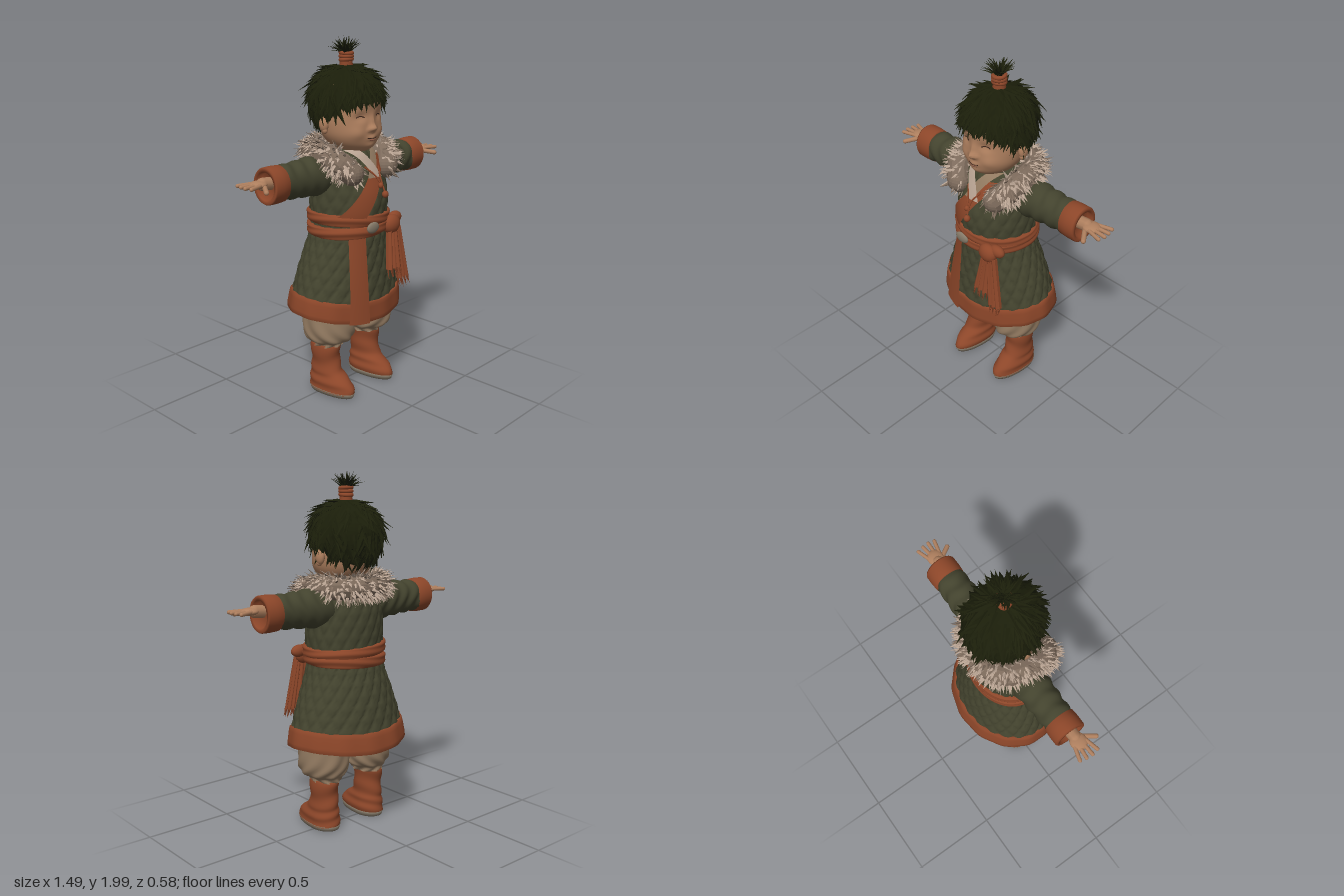
import * as THREE from 'three';
import { mergeGeometries } from 'three/addons/utils/BufferGeometryUtils.js';

const V = (x, y, z) => new THREE.Vector3(x, y, z);
const { sin, cos, PI, abs, min, max, sqrt, exp } = Math;
let seed = 7;
const rnd = (a = 0, b = 1) => {
  seed = (seed * 16807) % 2147483647;
  return a + (b - a) * (seed / 2147483647);
};

// Grid surface from a rule fn(u, v); closed wraps around u
function surface(fn, rows, cols, closed = true) {
  const pos = [], idx = [], n = closed ? cols : cols + 1;
  for (let j = 0; j <= rows; j++)
    for (let i = 0; i < n; i++) pos.push(...fn(i / cols, j / rows).toArray());
  for (let j = 0; j < rows; j++)
    for (let i = 0; i < cols; i++) {
      const a = j * n + i, b = j * n + ((i + 1) % n), c = a + n, d = b + n;
      idx.push(a, b, d, a, d, c);
    }
  const g = new THREE.BufferGeometry();
  g.setAttribute('position', new THREE.Float32BufferAttribute(pos, 3));
  g.setIndex(idx);
  g.computeVertexNormals();
  return g;
}

// Cross-section keys are [y, centreX, centreZ, radiusX, radiusFront, radiusBack]
function section(keys, t) {
  const f = t * (keys.length - 1), i = min(Math.floor(f), keys.length - 2), s = f - i;
  const k = (n) => keys[max(0, min(keys.length - 1, n))];
  const [a, b, c, d] = [k(i - 1), k(i), k(i + 1), k(i + 2)];
  return b.map((q, n) => q + 0.5 * s * (c[n] - a[n] + s * (2 * a[n] - 5 * q + 4 * c[n] - d[n] + s * (3 * (q - c[n]) + d[n] - a[n]))));
}
function ringPoint(keys, a, t, disp, off = 0) {
  const [y, cx, cz, rx, rf, rb] = section(keys, t);
  const p = V(cx + (rx + off) * sin(a), y, cz + ((cos(a) > 0 ? rf : rb) + off) * cos(a));
  if (disp) disp(p, a, t);
  return p;
}
const loft = (keys, sub, cols, disp) =>
  surface((u, v) => ringPoint(keys, u * 2 * PI, v, disp), sub * (keys.length - 1), cols);
// Strip lying on the front of a lofted form; span(v) gives its left and right x
const strip = (keys, t0, t1, span, off, disp) => surface((u, v) => {
  const t = t0 + (t1 - t0) * v, [l, r] = span(v);
  const q = (l + (r - l) * u) / section(keys, t)[3];
  return ringPoint(keys, Math.asin(max(-1, min(1, q))), t, disp, off);
}, 20, 8, false);
const push = (p, a, d) => { p.x += d * sin(a); p.z += d * cos(a); };

function mirror(g) {
  const m = g.clone().scale(-1, 1, 1), ix = m.index.array;
  for (let i = 0; i < ix.length; i += 3) [ix[i], ix[i + 1]] = [ix[i + 1], ix[i]];
  return m;
}
// Tapered lock of hair or fur, bent along the out direction
function lock(base, dir, out, len, w, bend, segs = 3) {
  const g = new THREE.ConeGeometry(w, len, 4, segs, true).translate(0, len / 2, 0), p = g.attributes.position;
  for (let i = 0; i < p.count; i++) p.setZ(i, p.getZ(i) * 0.5 + bend * (p.getY(i) / len) ** 2);
  const y = dir.clone().normalize(), z = out.clone().addScaledVector(y, -out.dot(y)).normalize();
  return g.applyMatrix4(new THREE.Matrix4().makeBasis(y.clone().cross(z), y, z).setPosition(base));
}
function limb(a, b, r) {
  const d = b.clone().sub(a), g = new THREE.CapsuleGeometry(r, d.length(), 4, 10);
  g.applyQuaternion(new THREE.Quaternion().setFromUnitVectors(V(0, 1, 0), d.normalize()));
  return g.translate(...a.clone().add(b).multiplyScalar(0.5).toArray());
}
const ball = (x, y, z, a, b, c) => new THREE.SphereGeometry(1, 18, 12).scale(a, b, c).translate(x, y, z);
const tube = (pts, r) => new THREE.TubeGeometry(new THREE.CatmullRomCurve3(pts), 12, r, 6);

export function createModel() {
  const root = new THREE.Group();
  root.name = 'childInQuiltedCoat';
  const mat = (name, color, opt = {}) => Object.assign(new THREE.MeshStandardMaterial({ color, side: THREE.DoubleSide, ...opt }), { name });
  const skin = mat('skin', 0xae7f5e), green = mat('greenQuilt', 0x43432e), rust = mat('rustCloth', 0x8c4629);
  const hair = mat('darkHair', 0x1b1e0a, { flatShading: true }), furLight = mat('lightFur', 0xb7a291, { flatShading: true });
  const furDark = mat('shadedFur', 0x7c6a5b, { flatShading: true }), linen = mat('linen', 0x917960);
  const grey = mat('greyLeather', 0x857a69), dark = mat('darkLine', 0x3a241a), lip = mat('lips', 0x94604a);
  const add = (name, g, m) => {
    const mesh = new THREE.Mesh(g, m);
    mesh.name = name;
    root.add(mesh);
    return mesh;
  };
  const pair = (name, g, m) => { add(name + 'Left', g, m); add(name + 'Right', mirror(g), m); };

  // Boots and baggy trousers
  const c = 0.165;
  pair('boot', loft([[0.02, c, 0, 0.078, 0.205, 0.105], [0.06, c, 0, 0.08, 0.2, 0.105], [0.1, c, 0, 0.075, 0.15, 0.1],
    [0.14, c, 0, 0.07, 0.1, 0.097], [0.21, c, 0, 0.071, 0.084, 0.092], [0.285, c, 0, 0.076, 0.085, 0.097], [0.287, c, 0, 0.05, 0.06, 0.06]],
  5, 32, (p, a, t) => push(p, a, 0.003 * sin(t * 26 + 2 * sin(a)))), rust);
  pair('sole', loft([[0, c, 0, 0.001, 0.001, 0.001], [0, c, 0, 0.075, 0.2, 0.1], [0.026, c, 0, 0.081, 0.21, 0.11], [0.027, c, 0, 0.07, 0.19, 0.09]], 1, 32), grey);
  const lc = 0.156;
  pair('trouserLeg', loft([[0.28, lc, 0, 0.078, 0.09, 0.1], [0.305, lc, 0, 0.088, 0.1, 0.105], [0.33, lc, 0.01, 0.125, 0.14, 0.13],
    [0.39, lc, 0.01, 0.14, 0.155, 0.148], [0.5, lc, 0.01, 0.135, 0.145, 0.145], [0.66, lc, 0.01, 0.13, 0.14, 0.14]],
  5, 48, (p, a, t) => push(p, a, 0.006 * sin(a * 8 + 4 * sin(t * 6)) * (1 - t * 0.5))), linen);
  add('trouserSeat', ball(0, 0.58, 0, 0.24, 0.13, 0.15), linen);

  // Quilted coat skirt with hem border and front band
  const quilt = (p, a, n, h, d) => {
    const q = PI * p.y / h;
    push(p, a, d * (sqrt(min(abs(sin(n * a + q)), abs(sin(n * a - q)))) - 0.7));
  };
  const hem = (p, w = 1) => { p.y += w * (0.3 * p.x * p.x - 0.05 * p.z); };
  const skirt = [[0.475, 0, 0, 0.36, 0.25, 0.285], [0.57, 0, 0, 0.342, 0.242, 0.262], [0.69, 0, 0, 0.308, 0.232, 0.238],
    [0.81, 0, 0, 0.265, 0.222, 0.212], [0.92, 0, 0, 0.227, 0.215, 0.182], [1, 0, 0, 0.215, 0.21, 0.17]];
  add('coatSkirt', loft(skirt, 10, 150, (p, a, t) => { quilt(p, a, 11, 0.13, 0.015); hem(p, 1 - t); }), green);
  add('hemBorder', loft([[0.47, 0, 0, 0.345, 0.24, 0.275], [0.462, 0, 0, 0.366, 0.256, 0.296], [0.52, 0, 0, 0.36, 0.254, 0.285],
    [0.57, 0, 0, 0.35, 0.252, 0.272], [0.575, 0, 0, 0.335, 0.24, 0.255]], 2, 72,
  (p, a) => { push(p, a, 0.003 * sin(a * 13)); hem(p); }), rust);
  add('frontBand', strip(skirt, 0, 1, (v) => [-0.2 + 0.06 * v, -0.08 + 0.01 * v], 0.016, (p, a, t) => { hem(p, 1 - t); p.y -= 0.015 * (1 - t); }), rust);

  // Coat body, crossed lapel and inner shirt collar
  const torso = [[0.96, 0, 0, 0.215, 0.21, 0.17], [1.06, 0, 0, 0.225, 0.232, 0.178], [1.16, 0, 0, 0.222, 0.228, 0.18],
    [1.25, 0, 0, 0.215, 0.2, 0.175], [1.33, 0, 0, 0.19, 0.165, 0.155], [1.39, 0, 0, 0.12, 0.125, 0.12], [1.41, 0, 0, 0.06, 0.06, 0.06]];
  add('coatBody', loft(torso, 7, 120, (p, a) => quilt(p, a, 9, 0.13, 0.012)), green);
  add('lapel', strip(torso, 0.13, 0.74, (v) => [-0.2 + 0.25 * v, -0.08 + 0.21 * v], 0.012), rust);
  for (const s of [-1, 1])
    add('shirtCollar', strip(torso, 0.5, 0.86, (v) => [s * (0.09 * v - 0.02) - 0.028, s * (0.09 * v - 0.02) + 0.028], 0.016 - 0.002 * s), s > 0 ? linen : furLight);

  // Sleeves, cuffs and hands
  const arm = (r) => r.map(([x, q]) => [x, 0, 0, q, q * 0.92, q * 0.92]);
  const place = (g) => g.rotateZ(-PI / 2).translate(0, 1.267, -0.008);
  pair('sleeve', place(loft(arm([[0.1, 0.09], [0.2, 0.108], [0.3, 0.102], [0.4, 0.094], [0.5, 0.091]]), 8, 36,
    (p, a) => push(p, a, 0.005 * sin(p.y * 75 + 2 * sin(a) + sin(3 * a))))), green);
  pair('cuff', place(loft(arm([[0.487, 0.085], [0.49, 0.096], [0.535, 0.099], [0.58, 0.098], [0.588, 0.093], [0.586, 0.074], [0.56, 0.068], [0.56, 0.001]]), 1, 36)), rust);
  const fingers = [0, 1, 2, 3].map((i) => limb(V(0.655, 1.29, -0.034 + 0.023 * i), V(0.738 - 0.008 * abs(i - 1.7), 1.288, -0.055 + 0.036 * i), 0.0105));
  pair('hand', mergeGeometries([ball(0.64, 1.288, 0, 0.05, 0.02, 0.046), limb(V(0.55, 1.28, 0), V(0.61, 1.286, 0), 0.034),
    limb(V(0.62, 1.28, 0.025), V(0.668, 1.268, 0.095), 0.013), ...fingers]), skin);

  // Wrapped sash, buckle, knot and fringed tails
  for (const [y, tilt] of [[0.93, 0.05], [0.985, -0.05]])
    add('sashWrap', loft([[y, 0, 0, 0.21, 0.21, 0.165], [y + 0.005, 0, 0, 0.233, 0.234, 0.187], [y + 0.035, 0, 0, 0.242, 0.243, 0.194],
      [y + 0.06, 0, 0, 0.236, 0.238, 0.188], [y + 0.065, 0, 0, 0.21, 0.21, 0.17]], 4, 64,
    (p, a, t) => { push(p, a, 0.003 * sin(t * 18 + 2 * sin(2 * a))); p.y += tilt * p.x; }), rust);
  add('buckle', ball(-0.047, 0.985, 0.242, 0.046, 0.031, 0.014), grey);
  add('sashKnot', mergeGeometries([ball(0.13, 0.965, 0.22, 0.06, 0.055, 0.04), ball(0.18, 0.99, 0.2, 0.05, 0.035, 0.03)]), rust);
  for (const [x0, x1, y1, z1, w] of [[0.125, 0.112, 0.72, 0.262, 0.1], [0.165, 0.205, 0.645, 0.25, 0.085]]) {
    const h = 0.95 - y1;
    const at = (s, t, zz = 0) => V(x0 + (x1 - x0) * t + s * w * (0.6 + 0.4 * t), 0.95 - h * t, 0.228 + (z1 - 0.228) * t + 0.008 * cos(s * 19) + zz);
    const g = new THREE.BoxGeometry(1, 1, 0.018, 16, 10, 1), p = g.attributes.position;
    for (let i = 0; i < p.count; i++) p.setXYZ(i, ...at(p.getX(i), 0.5 - p.getY(i), p.getZ(i)).toArray());
    g.computeVertexNormals();
    const fringe = [];
    for (let i = 0; i < 9; i++) fringe.push(lock(at(-0.45 + i * 0.1125, 0.98), V(rnd(-0.1, 0.2), -1, 0.1), V(0, 0, 1), rnd(0.05, 0.065), 0.009, 0.01));
    add('sashTail', g, rust);
    add('sashFringe', mergeGeometries(fringe), rust);
  }

  // Fur collar: horseshoe roll covered in tufts
  const half = [[0.135, 1.285, 0.17], [0.182, 1.34, 0.12], [0.195, 1.375, 0.02], [0.15, 1.375, -0.11]];
  const ring = new THREE.CatmullRomCurve3([...half.map((q) => V(...q)), V(0, 1.375, -0.165), ...half.slice().reverse().map(([x, y, z]) => V(-x, y, z))]);
  const ends = [1, -1].map((s) => ball(s * half[0][0], half[0][1], half[0][2], 0.064, 0.064, 0.064));
  add('collarRoll', mergeGeometries([new THREE.TubeGeometry(ring, 40, 0.066, 12), ...ends]), furDark);
  const tufts = [[], []];
  for (let i = 0; i < 1500; i++) {
    const t = rnd(), p = ring.getPointAt(t), tan = ring.getTangentAt(t);
    const n = V(rnd(-1, 1), rnd(-1, 1), rnd(-1, 1));
    if (t > 0.04 && t < 0.96) n.addScaledVector(tan, -n.dot(tan));
    n.normalize();
    const dir = n.clone().multiplyScalar(0.5).add(V(p.x * 2.2, -0.4, p.z * 2.2)).add(V(rnd(-0.3, 0.3), rnd(-0.3, 0.3), rnd(-0.3, 0.3)));
    tufts[i % 4 ? 0 : 1].push(lock(p.clone().addScaledVector(n, 0.06), dir, n, rnd(0.035, 0.06), rnd(0.008, 0.012), rnd(-0.01, 0.012), 2));
  }
  add('collarFur', mergeGeometries(tufts[0]), furLight);
  add('collarUnderfur', mergeGeometries(tufts[1]), furDark);

  // Cord with beads
  add('neckCord', mergeGeometries([tube([V(0.05, 1.3, 0.19), V(0.02, 1.25, 0.232), V(0.02, 1.18, 0.262)], 0.005),
    tube([V(-0.05, 1.31, 0.18), V(-0.01, 1.26, 0.225), V(0.005, 1.22, 0.248)], 0.005),
    ball(0.022, 1.162, 0.266, 0.018, 0.02, 0.018), ball(0.005, 1.21, 0.248, 0.014, 0.016, 0.014)]), rust);

  // Head: rounded form with nose, lips, cheeks and eye sockets
  const bumps = [[0, 1.513, 0.02, 0.018, 0.03], [0, 1.545, 0.014, 0.03, 0.014], [0.022, 1.508, 0.01, 0.01, 0.01], [0.068, 1.575, 0.032, 0.022, -0.013],
    [0.095, 1.49, 0.04, 0.04, 0.012], [0, 1.462, 0.028, 0.014, 0.011], [0, 1.418, 0.03, 0.02, 0.008]];
  const head = add('head', loft([[1.37, 0, 0.05, 0.01, 0.02, 0.02], [1.385, 0, 0.04, 0.075, 0.1, 0.08], [1.42, 0, 0.04, 0.125, 0.137, 0.13],
    [1.47, 0, 0.04, 0.157, 0.148, 0.17], [1.53, 0, 0.04, 0.168, 0.147, 0.19], [1.6, 0, 0.04, 0.168, 0.147, 0.2],
    [1.68, 0, 0.03, 0.172, 0.16, 0.2], [1.76, 0, 0.01, 0.145, 0.14, 0.16], [1.81, 0, 0, 0.03, 0.03, 0.03]], 7, 80, (p) => {
    if (p.z < 0.06) return;
    let d = 0;
    for (const [x, y, sx, sy, k] of bumps) d += k * exp(-(((abs(p.x) - x) / sx) ** 2) - ((p.y - y) / sy) ** 2);
    p.z += d;
  }), skin);
  add('neck', new THREE.CylinderGeometry(0.075, 0.085, 0.14, 24).translate(0, 1.36, 0.01), skin);
  pair('ear', mergeGeometries([ball(0.177, 1.535, 0.005, 0.022, 0.044, 0.03), ball(0.177, 1.503, 0.012, 0.015, 0.02, 0.017)]), skin);
  root.updateMatrixWorld(true);
  const onFace = (x, y) => new THREE.Raycaster(V(x, y, 1), V(0, 0, -1)).intersectObject(head)[0].point;
  const line = (x0, x1, y, sag, r) => tube([0, 1, 2, 3, 4].map((i) => onFace(x0 + (x1 - x0) * i / 4, y + sag * (1 - ((i - 2) / 2) ** 2))), r);
  pair('eyelid', line(0.045, 0.092, 1.572, 0.007, 0.003), dark);
  add('mouthLine', line(-0.034, 0.034, 1.462, -0.002, 0.0022), dark);
  add('lowerLip', line(-0.022, 0.022, 1.453, -0.003, 0.005), lip);

  // Hair: cap with an edge that dips at the back, covered in tousled locks
  const edge = (a) => 1.38 + 0.85 * ((1 - cos(a)) / 2);
  const cap = (a, f, o = 0) => V((0.188 + o) * sin(f) * sin(a), 1.645 + (0.188 + o) * cos(f), ((cos(a) > 0 ? 0.205 : 0.212) + o) * sin(f) * cos(a));
  add('hairCap', surface((u, v) => cap(u * 2 * PI, edge(u * 2 * PI) * (1 - v)), 20, 48), hair);
  const locks = [];
  for (let i = 0; i < 760; i++) {
    const a = rnd(0, 2 * PI), f = edge(a) * (i < 240 ? rnd(0.82, 1) : sqrt(rnd(0.01, 0.95))), base = cap(a, f, -0.004);
    const out = base.clone().sub(V(0, 1.645, 0)).normalize();
    const down = cap(a, f + 0.05).sub(cap(a, f)).normalize();
    const side = out.clone().cross(down).multiplyScalar(rnd(-0.6, 0.6));
    const len = rnd(0.07, 0.13) * (cos(a) > 0.5 && f > 1.1 ? 0.65 : 1);
    locks.push(lock(base, down.add(side).addScaledVector(out, rnd(0.1, 0.35)), out, len, rnd(0.014, 0.024), rnd(-0.045, 0.012)));
  }
  add('hairLocks', mergeGeometries(locks), hair);

  // Tied topknot
  const tie = [0, 1, 2].map((i) => new THREE.TorusGeometry(0.031, 0.011, 8, 20).rotateX(PI / 2 + 0.1 * (i - 1)).translate(0, 1.858 + 0.018 * i, 0));
  add('topknotTie', mergeGeometries([new THREE.CylinderGeometry(0.03, 0.036, 0.08, 18).translate(0, 1.862, 0), ...tie]), rust);
  const knot = [];
  for (let i = 0; i < 70; i++) {
    const d = V(rnd(-1, 0.6), rnd(0.55, 1.1), rnd(-0.9, 0.6));
    knot.push(lock(V(rnd(-0.015, 0.015), 1.89, rnd(-0.015, 0.015)), d, V(d.x, -0.6, d.z), rnd(0.075, 0.11), rnd(0.009, 0.014), rnd(0, 0.04)));
  }
  add('topknotTuft', mergeGeometries(knot), hair);
  return root;
}
